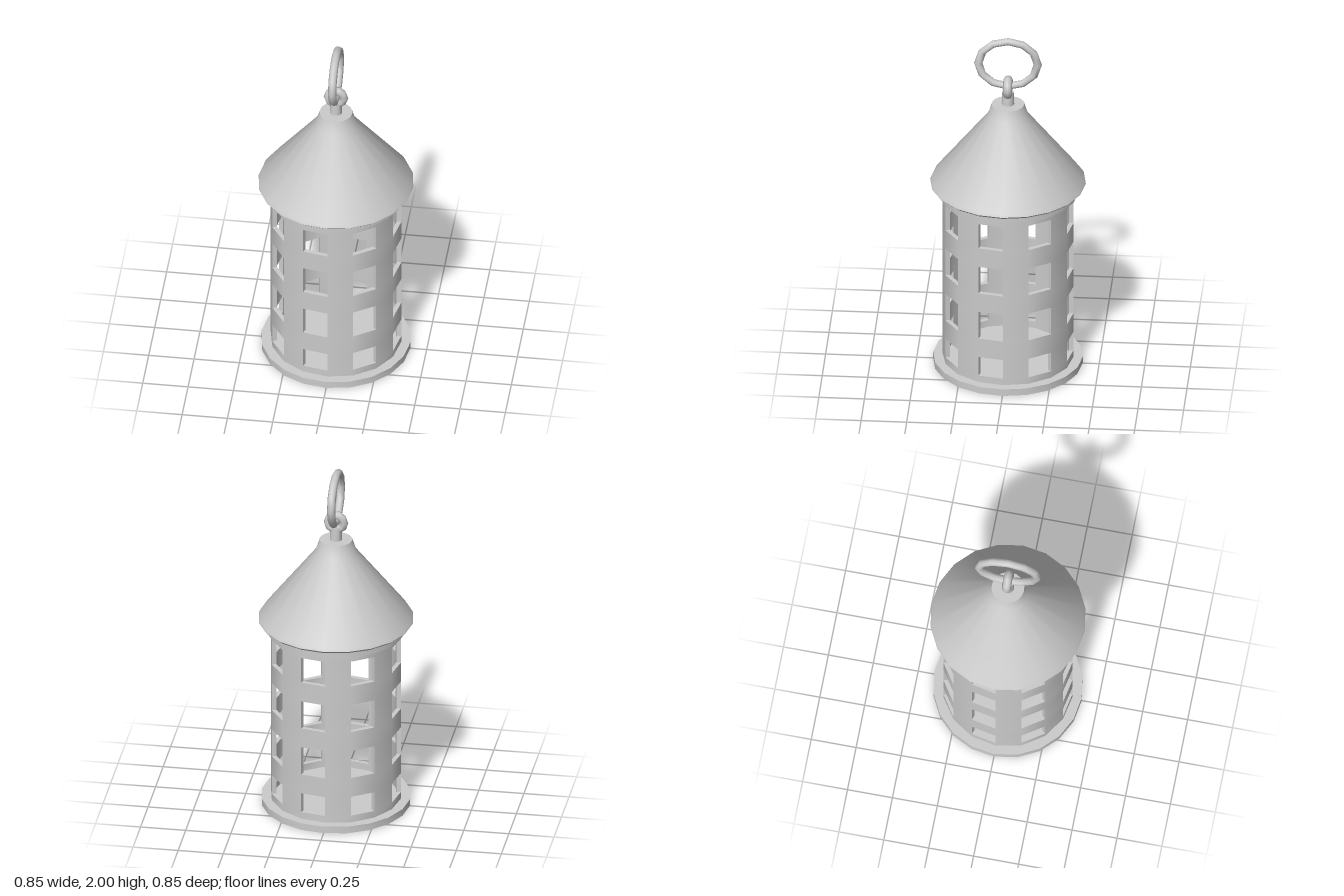
import * as THREE from 'three';
import { toCreasedNormals } from 'three/addons/utils/BufferGeometryUtils.js';

const material = new THREE.MeshStandardMaterial({ color: 0xcccccc });

function addPart(group, name, geometry, crease = 0.7) {
  const mesh = new THREE.Mesh(toCreasedNormals(geometry, crease), material);
  mesh.name = name;
  group.add(mesh);
  return mesh;
}

function lathe(points, sides) {
  return new THREE.LatheGeometry(points.map(([r, y]) => new THREE.Vector2(r, y)), sides);
}

// Thick cylinder wall on a grid of cells; every second column is open in the window rows
function piercedWall(outer, inner, levels, sides) {
  const positions = [];
  const point = (r, k, y) => {
    const a = (k / sides) * Math.PI * 2;
    return [r * Math.sin(a), y, r * Math.cos(a)];
  };
  const quad = (a, b, c, d) => positions.push(...a, ...b, ...c, ...a, ...c, ...d);
  const rows = levels.length - 1;
  const solid = (k, j) =>
    j >= 0 && j < rows && !(j % 2 === 1 && (k + sides) % 2 === 1);

  for (let j = 0; j < rows; j++) {
    for (let k = 0; k < sides; k++) {
      if (!solid(k, j)) continue;
      const [y0, y1] = [levels[j], levels[j + 1]];
      const o = [point(outer, k, y0), point(outer, k + 1, y0), point(outer, k + 1, y1), point(outer, k, y1)];
      const i = [point(inner, k, y0), point(inner, k + 1, y0), point(inner, k + 1, y1), point(inner, k, y1)];
      quad(o[0], o[1], o[2], o[3]);
      quad(i[1], i[0], i[3], i[2]);
      // Window reveals and wall ends
      if (!solid(k + 1, j)) quad(o[1], i[1], i[2], o[2]);
      if (!solid(k - 1, j)) quad(i[0], o[0], o[3], i[3]);
      if (!solid(k, j + 1)) quad(o[3], o[2], i[2], i[3]);
      if (!solid(k, j - 1)) quad(i[0], i[1], o[1], o[0]);
    }
  }
  const geometry = new THREE.BufferGeometry();
  geometry.setAttribute('position', new THREE.Float32BufferAttribute(positions, 3));
  return geometry;
}

export function createModel() {
  const lantern = new THREE.Group();
  lantern.name = 'lantern';

  // Base plate
  addPart(lantern, 'basePlate', lathe([[0, 0], [0.41, 0], [0.41, 0.04], [0, 0.04]], 20));

  // Body with four rows of eight windows
  const levels = [0.03, 0.08, 0.195, 0.31, 0.475, 0.59, 0.755, 0.87, 1.02, 1.07];
  addPart(lantern, 'body', piercedWall(0.36, 0.335, levels, 16));

  // Collar below the roof
  addPart(lantern, 'collar',
    lathe([[0.335, 1.06], [0.388, 1.06], [0.388, 1.11], [0.335, 1.11]], 20));

  // Conical roof with a thin eave and a short neck
  addPart(lantern, 'roof', lathe([
    [0, 1.1], [0.41, 1.1], [0.427, 1.115], [0.42, 1.13],
    [0.11, 1.53], [0.09, 1.595], [0, 1.595],
  ], 20), 0.6);

  // Stem and eye
  const stem = new THREE.CylinderGeometry(0.031, 0.035, 0.09, 10);
  addPart(lantern, 'stem', stem).position.y = 1.63;
  const eye = new THREE.TorusGeometry(0.043, 0.025, 8, 10);
  addPart(lantern, 'eye', eye, 1).position.y = 1.697;

  // Oval carrying ring, turned across the eye
  const ring = new THREE.TorusGeometry(0.163, 0.023, 8, 12);
  ring.scale(1, 0.845, 1).rotateY(Math.PI / 2);
  addPart(lantern, 'carryingRing', ring, 1).position.y = 1.843;

  return lantern;
}
